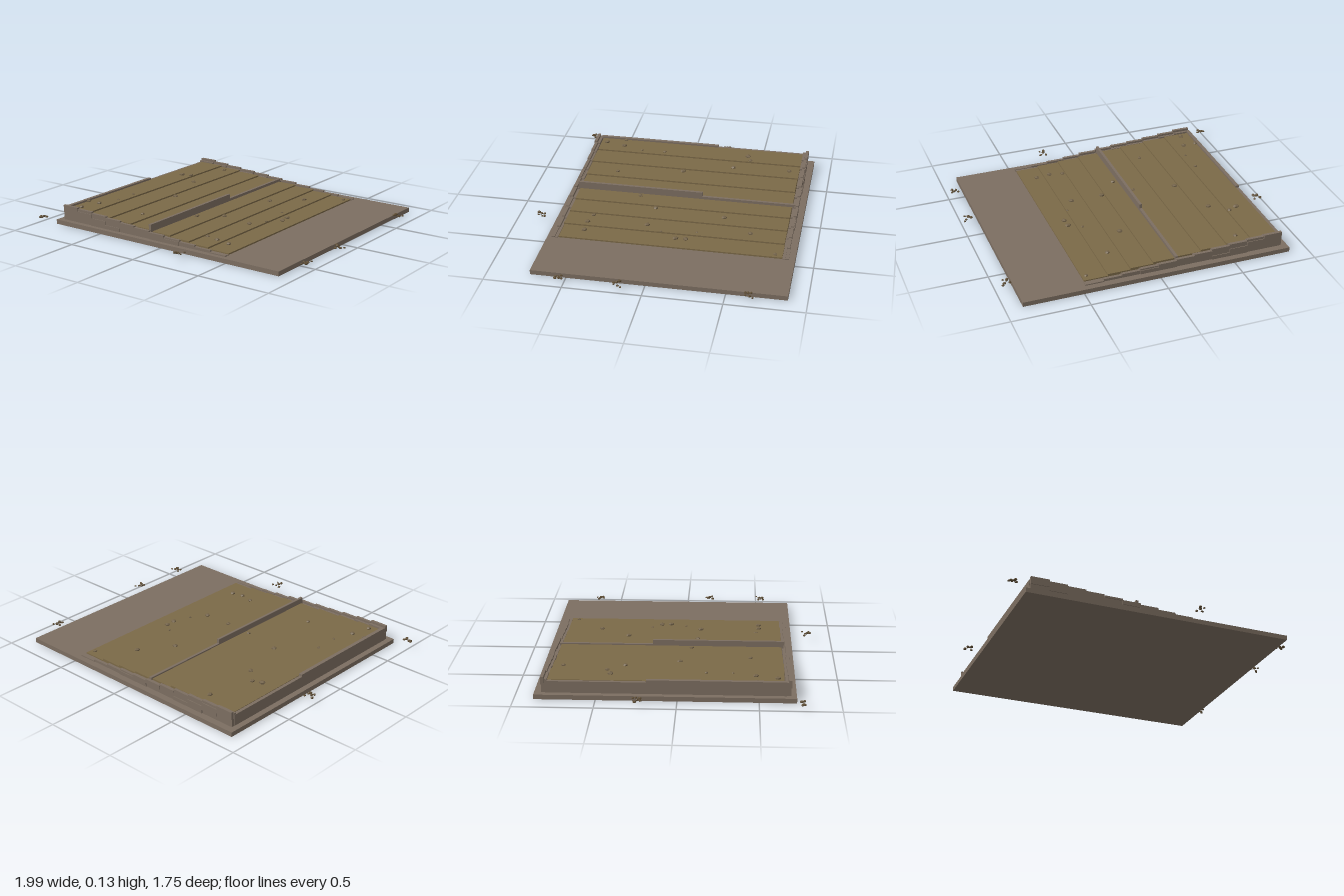
import * as THREE from 'three';

const BASE = 0.03, Z0 = -0.8, Z1 = 0.66, MID = (Z0 + Z1) / 2;

export function createModel() {
  const model = new THREE.Group();
  const mat = (name, color) => {
    const m = new THREE.MeshStandardMaterial({ color, flatShading: true });
    m.name = name;
    return m;
  };
  const stone = mat('grey brown stone', 0x7c6e61);
  const soil = mat('tan earth', 0x7b6947);
  const pebbleMat = mat('pebble brown', 0x74644b);
  const clodMat = mat('dark clod', 0x5f4e35);

  let seed = 7;
  const rand = () => (seed = (seed * 16807) % 2147483647) / 2147483647;

  // Box given by its minimum and maximum corners
  const box = (name, m, x0, x1, y0, y1, z0, z1, parent = model) => {
    const b = new THREE.Mesh(new THREE.BoxGeometry(x1 - x0, y1 - y0, z1 - z0), m);
    b.position.set((x0 + x1) / 2, (y0 + y1) / 2, (z0 + z1) / 2);
    b.name = name;
    parent.add(b);
  };

  box('basePlate', stone, -0.88, 0.89, 0, BASE, -0.88, 0.73);

  // Eight terraces stepping down towards +x
  const edges = [-0.82, -0.64, -0.475, -0.3, -0.135, 0.02, 0.17, 0.32, 0.475];
  const tops = edges.slice(0, 8).map((_, i) => 0.108 - i * 0.0098);
  const terraces = new THREE.Group();
  terraces.name = 'terraces';
  model.add(terraces);
  tops.forEach((y, i) => {
    box('terrace', soil, edges[i], edges[i + 1], BASE, y, Z0 + rand() * 0.006, Z1 - rand() * 0.006, terraces);
  });
  const surface = (x) => {
    let i = 0;
    while (i < 7 && x > edges[i + 1]) i++;
    return tops[i];
  };

  // Stepped side walls: a plain inner face and staggered outer bricks
  for (const side of [-1, 1]) {
    const wall = new THREE.Group();
    wall.name = side > 0 ? 'frontWall' : 'backWall';
    model.add(wall);
    const zAt = (d) => MID + side * d;
    for (let i = 0; i < 11; i++) {
      const x0 = -0.84 + i * 0.12, x1 = x0 + 0.12, top = 0.13 - i * 0.0093;
      const span = (a, b) => [Math.min(zAt(a), zAt(b)), Math.max(zAt(a), zAt(b))];
      box('innerWall', stone, x0, x1, BASE, Math.max(top - 0.014, 0.034), ...span(0.73, 0.748), wall);
      for (let c = 0; BASE + c * 0.025 < top - 0.002; c++) {
        const y0 = BASE + c * 0.025;
        const shift = (Math.floor((i + c) / 2) % 2) * 0.005;
        box('brick', stone, x0, x1, y0, Math.min(y0 + 0.025, top), ...span(0.745 + shift, 0.765 + shift), wall);
      }
    }
  }

  // Cross walls, taller on their front part
  const crossWall = (name, x0, x1, low, high) => {
    box(name + 'Low', stone, x0, x1, BASE, low, Z0 - 0.01, -0.19);
    box(name + 'High', stone, x0, x1, BASE, high, -0.19, Z1 + 0.01);
  };
  crossWall('endWall', -0.842, -0.818, 0.105, 0.12);
  crossWall('divider', -0.14, -0.122, 0.087, 0.117);

  // Flattened pebbles lying on the terraces: x, z, radius
  const pebbles = [
    [-0.565, -0.73, 0.018], [-0.715, -0.42, 0.022], [-0.655, -0.445, 0.017], [-0.55, -0.34, 0.019],
    [-0.45, 0, 0.02], [-0.175, 0.065, 0.016], [-0.09, 0.23, 0.018], [0.04, 0.1, 0.019],
    [0.085, -0.37, 0.02], [0.24, -0.565, 0.019], [0.445, -0.75, 0.015], [0.365, -0.16, 0.02],
    [0.37, -0.095, 0.02], [0.25, 0.115, 0.02], [0.19, 0.49, 0.017], [0.28, 0.51, 0.019],
    [0.37, 0.51, 0.02], [-0.72, 0.48, 0.02], [-0.81, 0.485, 0.018], [-0.755, 0.615, 0.02],
    [-0.68, 0.175, 0.013], [-0.37, 0.45, 0.015], [-0.675, 0.34, 0.01], [0.285, -0.22, 0.01], [0.315, 0.01, 0.01],
  ];
  const lump = new THREE.DodecahedronGeometry(1);
  for (const [x, z, r] of pebbles) {
    const p = new THREE.Mesh(lump, pebbleMat);
    p.name = 'pebble';
    p.scale.set(r, r * 0.5, r * 0.85);
    p.position.set(x, surface(x) + r * 0.2, z);
    p.rotation.y = rand() * 6;
    model.add(p);
  }

  // Small clusters of clods around the plate: x, z of each cluster
  const clusters = [[-0.95, -0.24], [-0.97, 0.762], [0.93, -0.645], [0.96, 0.16], [0.953, 0.53], [0.23, 0.835]];
  const clods = [[-0.025, -0.012], [-0.008, 0.004], [0.008, -0.006], [0.022, -0.026], [0.012, 0.018], [-0.016, 0.022]];
  clusters.forEach(([cx, cz], k) => {
    const g = new THREE.Group();
    g.name = 'clodCluster';
    g.position.set(cx, 0.042, cz);
    const flat = k === 1 ? 0.4 : 1;
    clods.forEach(([dx, dz]) => {
      const c = new THREE.Mesh(lump, clodMat);
      const r = 0.007 + rand() * 0.004;
      c.name = 'clod';
      c.scale.set(r * 1.15, r * 0.8, r);
      c.position.set(dx, (rand() - 0.5) * 0.016, dz * flat);
      c.rotation.y = rand() * 6;
      g.add(c);
    });
    model.add(g);
  });

  return model;
}
